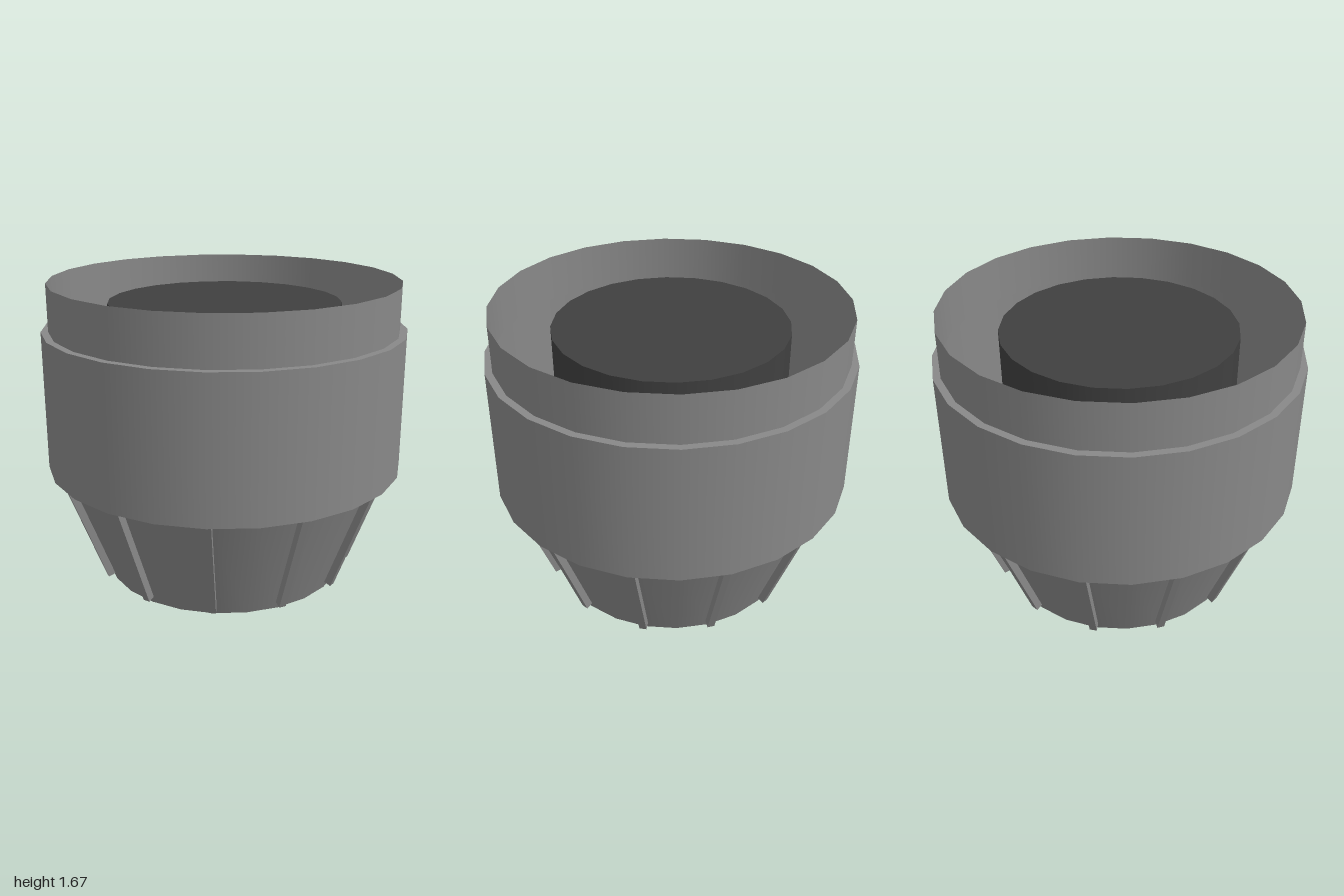
import * as THREE from 'three';
import { mergeGeometries } from 'three/addons/utils/BufferGeometryUtils.js';

const SIDES = 24;

// Revolves each straight stretch of a profile on its own, so corners stay sharp
function revolve(profile) {
  const bands = [];
  for (let i = 0; i + 1 < profile.length; i++) {
    const pair = [profile[i], profile[i + 1]].map(([r, y]) => new THREE.Vector2(r, y));
    bands.push(new THREE.LatheGeometry(pair, SIDES));
  }
  return mergeGeometries(bands);
}

export function createModel() {
  const grey = new THREE.MeshStandardMaterial({ color: 0x888888, side: THREE.DoubleSide });
  grey.name = 'mid grey';
  const dark = new THREE.MeshStandardMaterial({ color: 0x404040, side: THREE.DoubleSide });
  dark.name = 'dark grey';

  const model = new THREE.Group();
  model.name = 'nozzle';
  const add = (name, geometry, material, parent = model) => {
    const mesh = new THREE.Mesh(geometry, material);
    mesh.name = name;
    parent.add(mesh);
    return mesh;
  };

  // Thin open shell: foot ring, cone, wide body and narrower collar
  add('footRing', revolve([[0.64, 0], [0.68, 0]]), grey);
  add('cone', revolve([[0.68, 0], [0.92, 0.64]]), grey);
  add('body', revolve([[0.92, 0.64], [1, 0.64], [1, 1.41], [0.96, 1.41]]), grey);
  add('collar', revolve([[0.96, 1.41], [0.96, 1.67]]), grey);

  // Inner core with a flat lid, and the grey lining of its bore
  add('core', revolve([[0.64, 0.005], [0.64, 1.55], [0, 1.55]]), dark);
  add('boreLining', revolve([[0.635, 0], [0.635, 1.54]]), grey);

  // Slanted ribs through the cone wall, dark on the inner and top faces
  const tilt = Math.atan2(0.24, 0.64);
  const ribGeometry = new THREE.BoxGeometry(0.04, 0.655, 0.052);
  const ribFaces = [grey, grey, dark, grey, grey, dark];
  const ribs = new THREE.Group();
  ribs.name = 'ribs';
  model.add(ribs);
  for (let i = 0; i < 12; i++) {
    const arm = new THREE.Group();
    arm.rotation.y = THREE.MathUtils.degToRad(15 + 30 * i);
    ribs.add(arm);
    const rib = add('rib', ribGeometry, ribFaces, arm);
    rib.position.set(0, 0.345, 0.822);
    rib.rotation.x = tilt;
  }
  return model;
}
